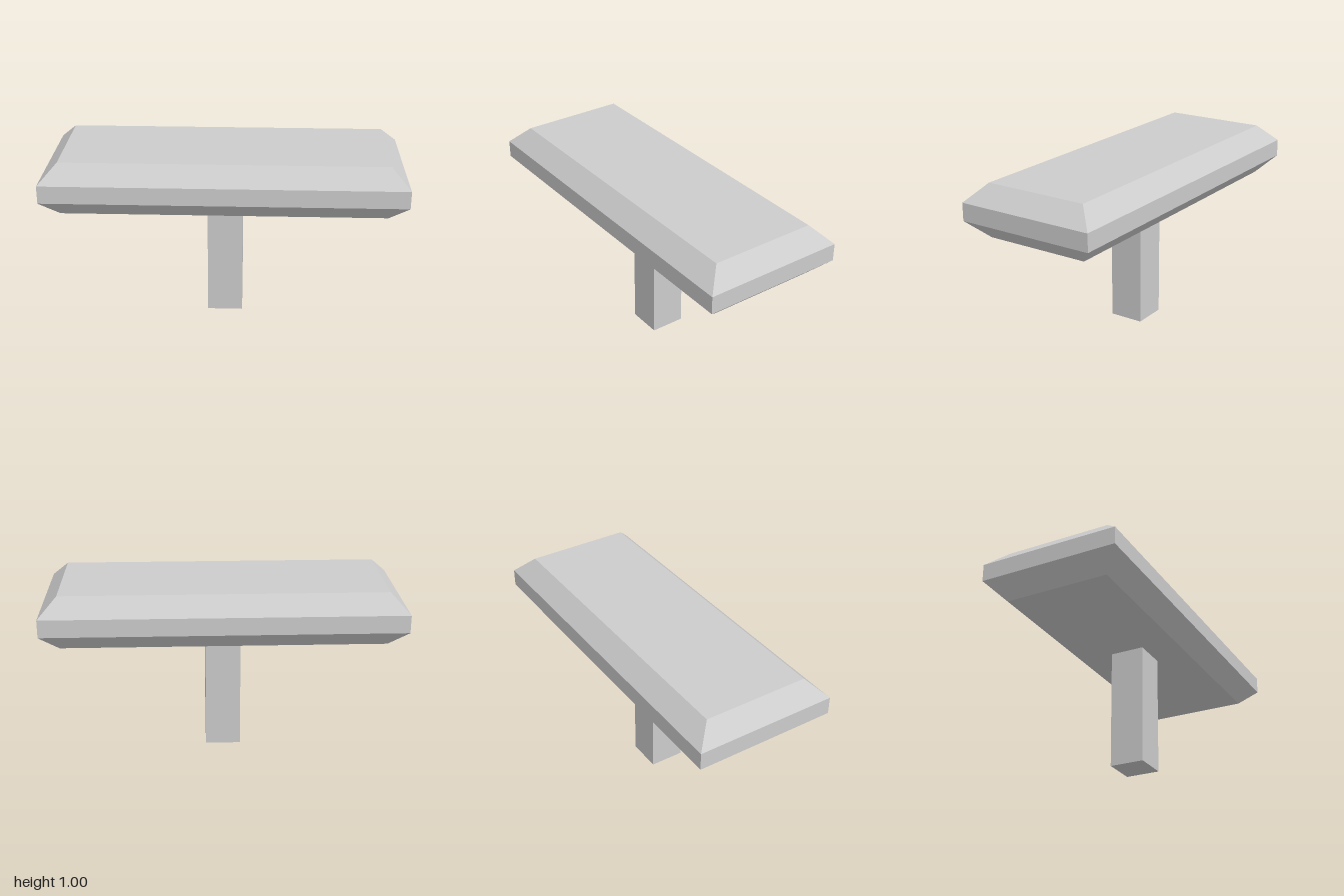
import * as THREE from 'three';

// Box whose top and bottom faces are drawn in, leaving a 45 degree bevel all round
function beveledSlab(width, height, depth, bevel) {
  const geo = new THREE.BoxGeometry(width, height, depth, 1, 3, 1);
  const pos = geo.attributes.position;
  for (let i = 0; i < pos.count; i++) {
    const x = pos.getX(i), y = pos.getY(i), z = pos.getZ(i);
    const inset = Math.abs(y) > height / 2 - 0.001 ? bevel : 0;
    pos.setX(i, x - Math.sign(x) * inset);
    pos.setZ(i, z - Math.sign(z) * inset);
  }
  const flat = geo.toNonIndexed();
  flat.computeVertexNormals();
  return flat;
}

export function createModel() {
  const group = new THREE.Group();
  group.name = 'table';

  const grey = new THREE.MeshStandardMaterial({ color: 0xcccccc });
  grey.name = 'light grey';

  // Table top: three equal bands, the outer two bevelled
  const top = new THREE.Mesh(beveledSlab(2, 0.3, 0.8, 0.1), grey);
  top.name = 'tableTop';
  top.position.y = 0.85;
  group.add(top);

  // Square centre post
  const post = new THREE.Mesh(new THREE.BoxGeometry(0.2, 0.7, 0.2), grey);
  post.name = 'post';
  post.position.y = 0.35;
  group.add(post);

  return group;
}
